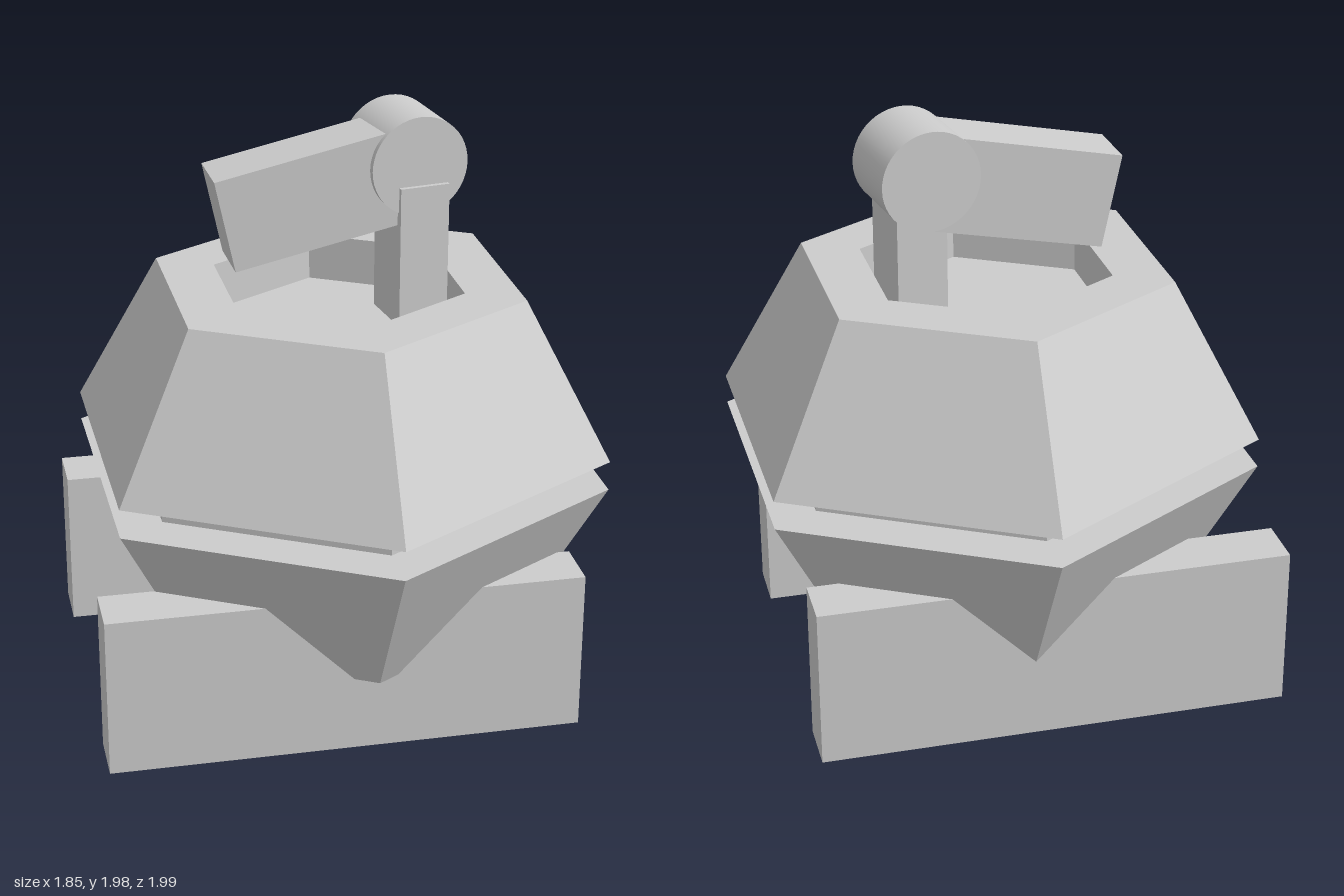
import * as THREE from 'three';

const deg = THREE.MathUtils.degToRad;
const grey = new THREE.MeshStandardMaterial({ color: 0xcccccc });
const flat = new THREE.MeshStandardMaterial({ color: 0xcccccc, flatShading: true });

function addMesh(parent, name, geometry, material, x = 0, y = 0, z = 0) {
  const mesh = new THREE.Mesh(geometry, material);
  mesh.name = name;
  mesh.position.set(x, y, z);
  parent.add(mesh);
  return mesh;
}

// Six-sided solid from a [radius, height] profile, listed bottom to top
function hexSolid(profile) {
  return new THREE.LatheGeometry(profile.map(([r, y]) => new THREE.Vector2(r, y)), 6);
}

export function createModel() {
  const model = new THREE.Group();
  model.name = 'walkerTurret';

  // Two long parallel feet
  const feet = new THREE.Group();
  feet.name = 'feet';
  feet.rotation.y = deg(-28.4);
  model.add(feet);
  for (const side of [-1, 1]) {
    addMesh(feet, side > 0 ? 'leftFoot' : 'rightFoot',
      new THREE.BoxGeometry(0.186, 0.555, 1.586), flat, side * 0.53, 0.2775, 0);
  }

  // Hexagonal body: lower hull, recessed neck, upper hull with an open well
  const body = new THREE.Group();
  body.name = 'body';
  body.position.set(0.0625, 0, -0.0625);
  body.rotation.y = deg(2.6);
  model.add(body);
  addMesh(body, 'lowerHull',
    hexSolid([[0, 0.26], [0.64, 0.26], [0.938, 0.795], [0, 0.795]]), flat);
  addMesh(body, 'neck', hexSolid([[0.766, 0.78], [0.766, 0.91]]), flat);
  addMesh(body, 'upperHull',
    hexSolid([[0, 0.895], [0.938, 0.895], [0.64, 1.43], [0.433, 1.43], [0.433, 1.27], [0, 1.27]]), flat);

  // Post standing in the well
  const post = addMesh(model, 'post',
    new THREE.BoxGeometry(0.222, 0.48, 0.171), flat, 0.139, 1.51, -0.318);
  post.rotation.y = deg(-19);

  // Horizontal pivot drum on the post
  const drum = addMesh(model, 'pivotDrum',
    new THREE.CylinderGeometry(0.167, 0.167, 0.264, 48).rotateZ(Math.PI / 2), grey, 0.1, 1.815, -0.318);
  drum.rotation.y = deg(-19);

  // Arm tilted down towards the front
  const arm = addMesh(model, 'arm',
    new THREE.BoxGeometry(0.205, 0.317, 0.62), flat, -0.02, 1.724, -0.01);
  arm.rotation.set(deg(12), deg(-26), 0, 'YXZ');

  return model;
}
